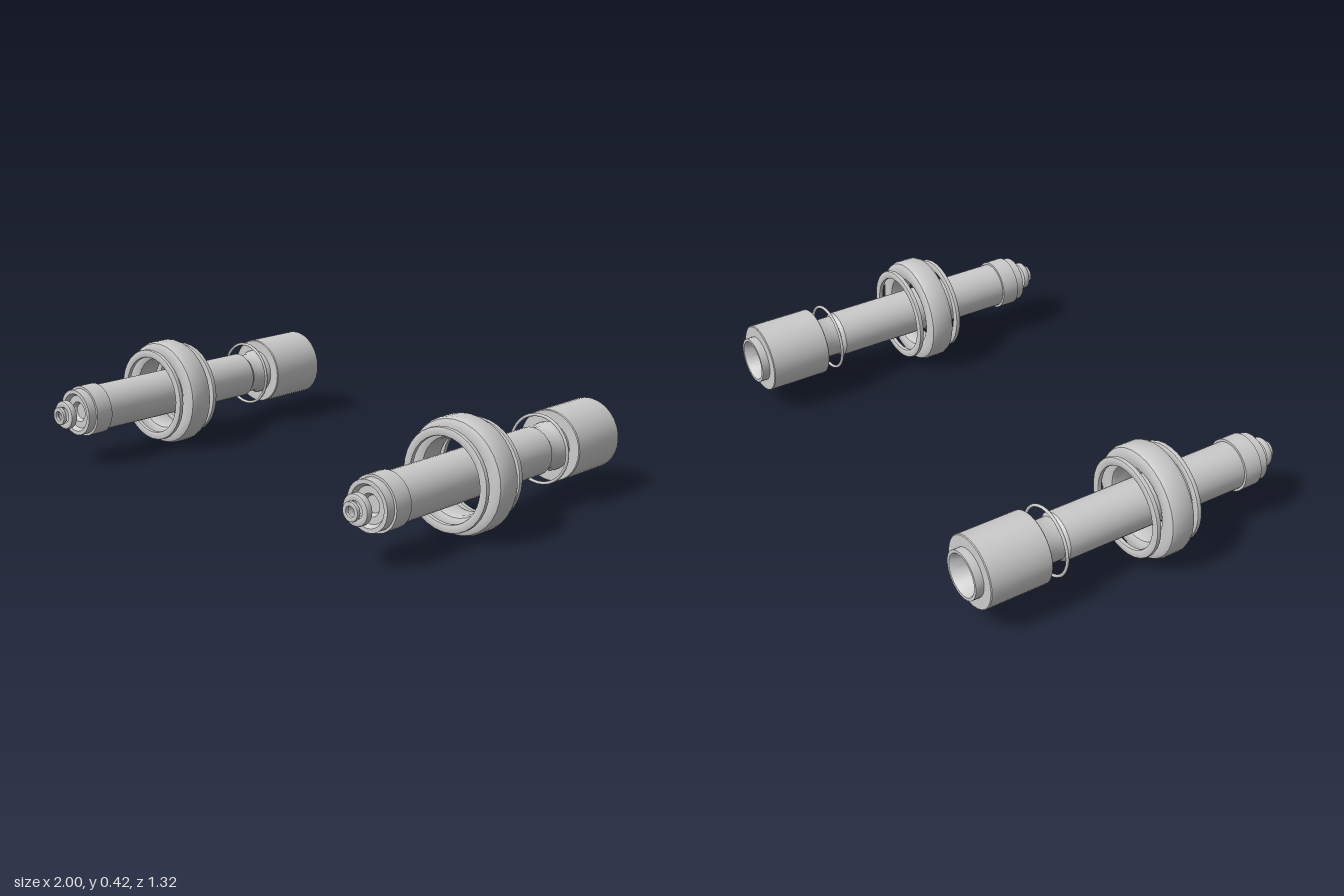
import * as THREE from 'three';
import { toCreasedNormals } from 'three/addons/utils/BufferGeometryUtils.js';

const SEGMENTS = 32;
const AXIS_X = 0.789;
const AXIS_Y = 0.213;
const material = new THREE.MeshStandardMaterial({ color: 0xcccccc });

// Turned part around the z axis; the profile is [radius, z], outside running towards +z
function turned(name, profile) {
  const points = profile.map(([r, z]) => new THREE.Vector2(r, z));
  const geometry = new THREE.LatheGeometry(points, SEGMENTS);
  geometry.rotateX(Math.PI / 2);
  const mesh = new THREE.Mesh(toCreasedNormals(geometry, 0.6), material);
  mesh.name = name;
  return mesh;
}

// Closed ring with a bevelled cross-section
function ring(name, inner, outer, back, front, bevel) {
  const k = bevel * 0.3;
  return turned(name, [
    [inner + bevel, back], [outer - bevel, back], [outer - k, back + k],
    [outer, back + bevel], [outer, front - bevel], [outer - k, front - k],
    [outer - bevel, front], [inner + bevel, front], [inner + k, front - k],
    [inner, front - bevel], [inner, back + bevel], [inner + k, back + k],
    [inner + bevel, back],
  ]);
}

// Thin wire ring
function wireRing(name, outer, z, tube) {
  const mesh = new THREE.Mesh(new THREE.TorusGeometry(outer - tube, tube, 8, SEGMENTS), material);
  mesh.name = name;
  mesh.position.z = z;
  return mesh;
}

function createUnit(name) {
  const unit = new THREE.Group();
  unit.name = name;

  unit.add(
    // Main barrel: narrow neck at the back, dished nose at the front
    turned('barrel', [
      [0, -0.39], [0.09, -0.39], [0.09, -0.37], [0.079, -0.35], [0.079, -0.297],
      [0.09, -0.283], [0.0905, 0.577], [0.075, 0.577], [0.065, 0.56],
      [0.04, 0.56], [0.03, 0.545], [0, 0.545],
    ]),
    // Raised collar near the nose
    turned('noseCollar', [
      [0.089, 0.472], [0.0995, 0.472], [0.0995, 0.543], [0.089, 0.543],
    ]),
    // Rear housing with an inner sleeve and a tapered socket
    turned('rearHousing', [
      [0.089, -0.627], [0.131, -0.627], [0.134, -0.624],
      [0.134, -0.387], [0.131, -0.384], [0, -0.384],
    ]),
    turned('rearSocket', [
      [0, -0.5], [0.035, -0.5], [0.05, -0.56], [0.076, -0.655], [0.079, -0.658],
      [0.09, -0.658], [0.09, -0.62],
    ]),
    // Large bearing ring with a thin ring on each side
    ring('mainRing', 0.138, 0.211, 0.053, 0.155, 0.02),
    ring('frontThinRing', 0.155, 0.187, 0.181, 0.2, 0.006),
    ring('backThinRing', 0.155, 0.187, 0.006, 0.025, 0.006),
    wireRing('neckRing', 0.133, -0.323, 0.006),
    // Two small washers in front of the nose
    ring('noseWasher', 0.03, 0.056, 0.607, 0.634, 0.006),
    ring('tipWasher', 0.018, 0.035, 0.641, 0.657, 0.005),
  );
  return unit;
}

export function createModel() {
  const model = new THREE.Group();
  model.name = 'model';
  for (const side of [-1, 1]) {
    const unit = createUnit(side > 0 ? 'leftUnit' : 'rightUnit');
    unit.position.set(side * AXIS_X, AXIS_Y, 0);
    model.add(unit);
  }
  return model;
}
